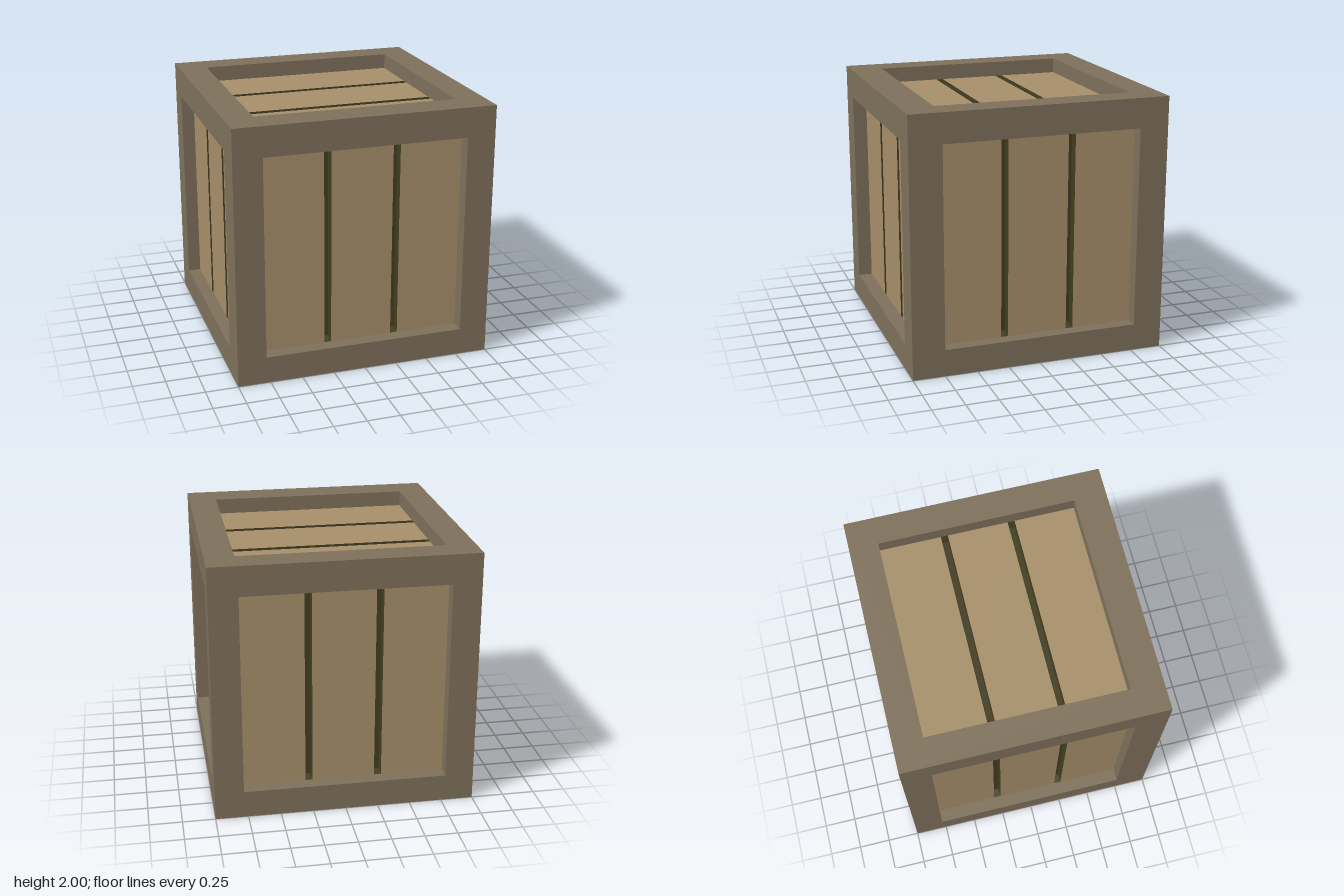
import * as THREE from 'three';
import { mergeGeometries } from 'three/addons/utils/BufferGeometryUtils.js';

const material = (color) => new THREE.MeshStandardMaterial({ color, flatShading: true });
const axis = (x, y, z) => new THREE.Vector3(x, y, z);

// Rectangle loop, counter-clockwise seen from outside, at height w along the face normal
const rect = (u0, u1, v0, v1, w) => [[u0, v0, w], [u1, v0, w], [u1, v1, w], [u0, v1, w]];

// Four quads bridging an outer rectangle to an inner one
const ring = (a, b) => a.map((p, i) => [p, a[(i + 1) % 4], b[(i + 1) % 4], b[i]]);

// Turns quads in face coordinates (u, v, w) into a geometry
function quadsGeometry(quads, { U, V, N }) {
  const positions = [];
  for (const q of quads) {
    for (const i of [0, 1, 2, 0, 2, 3]) {
      const [u, v, w] = q[i];
      const p = axis(0, 1, 0).addScaledVector(U, u).addScaledVector(V, v).addScaledVector(N, w);
      positions.push(p.x, p.y, p.z);
    }
  }
  const g = new THREE.BufferGeometry();
  g.setAttribute('position', new THREE.Float32BufferAttribute(positions, 3));
  g.computeVertexNormals();
  return g;
}

export function createModel() {
  const group = new THREE.Group();
  group.name = 'crate';
  const X = axis(1, 0, 0), Y = axis(0, 1, 0), Z = axis(0, 0, 1);
  const minus = (a) => a.clone().negate();
  const frameMat = material(0x7d6f5a);
  const plankMat = material(0xa58e69);
  const grooveMat = material(0x403c20);

  // Opening limits, recess depth and groove positions of each side; planks run along V
  const even = { u: [-0.78, 0.78], gaps: [[-0.295, -0.24], [0.24, 0.295]] };
  const alongZ = { u: [-0.775, 0.75], gaps: [[-0.3, -0.245], [0.225, 0.28]] };
  const againstZ = { u: [-0.75, 0.775], gaps: [[-0.28, -0.225], [0.245, 0.3]] };
  const upright = [-0.79, 0.77], flat = [-0.78, 0.78];
  const sides = [
    { name: 'front', U: X, V: Y, ...even, v: upright, depth: 0.11 },
    { name: 'back', U: minus(X), V: Y, ...even, v: upright, depth: 0.11 },
    { name: 'left', U: minus(Z), V: Y, ...againstZ, v: upright, depth: 0.1 },
    { name: 'right', U: Z, V: Y, ...alongZ, v: upright, depth: 0.1 },
    { name: 'top', U: Z, V: X, ...alongZ, v: flat, depth: 0.12 },
    { name: 'bottom', U: minus(Z), V: X, ...againstZ, v: flat, depth: 0.08 },
  ];

  const frameParts = [];
  for (const s of sides) {
    const face = { U: s.U, V: s.V, N: s.U.clone().cross(s.V) };
    const w = 1 - s.depth;
    const opening = (h) => rect(...s.u, ...s.v, h);

    // Frame border and the inner walls of its opening
    frameParts.push(quadsGeometry(
      [...ring(rect(-1, 1, -1, 1, 1), opening(1)), ...ring(opening(1), opening(w))], face));

    // Three planks between the opening edges and the grooves
    const panel = new THREE.Group();
    panel.name = s.name + 'Panel';
    const edges = [s.u[0], ...s.gaps.flat(), s.u[1]];
    for (let i = 0; i < 3; i++) {
      const plank = new THREE.Mesh(
        quadsGeometry([rect(edges[2 * i], edges[2 * i + 1], ...s.v, w)], face), plankMat);
      plank.name = 'plank' + (i + 1);
      panel.add(plank);
    }

    // Grooves: dark channels with slightly sloping walls
    s.gaps.forEach(([a, b], i) => {
      const rim = rect(a, b, ...s.v, w);
      const floor = rect(a + 0.006, b - 0.006, s.v[0] + 0.025, s.v[1] - 0.025, w - 0.06);
      const groove = new THREE.Mesh(quadsGeometry([...ring(rim, floor), floor], face), grooveMat);
      groove.name = 'groove' + (i + 1);
      panel.add(groove);
    });
    group.add(panel);
  }

  const frame = new THREE.Mesh(mergeGeometries(frameParts), frameMat);
  frame.name = 'frame';
  group.add(frame);
  return group;
}
